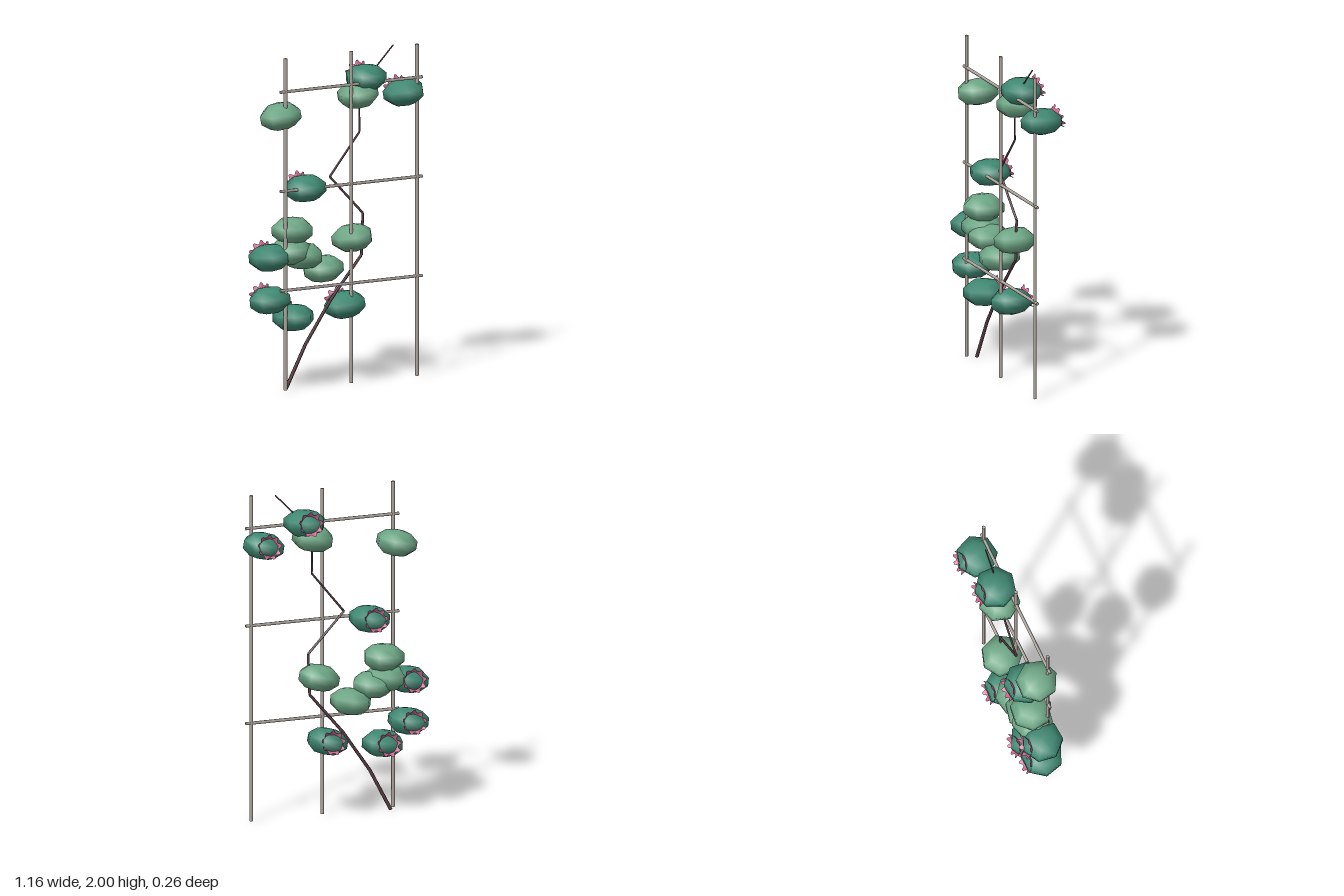
import * as THREE from 'three';

const mat = (name, color, side = THREE.FrontSide) => {
  const m = new THREE.MeshStandardMaterial({ color, side });
  m.name = name;
  return m;
};

export function createModel() {
  const wood = mat('weathered wood', 0xb0a7a0);
  const bark = mat('dark bark', 0x5e4145);
  const darkLeaf = mat('dark foliage', 0x3f8872);
  const lightLeaf = mat('light foliage', 0x6da685);
  const pink = mat('pink petals', 0xd0628e, THREE.DoubleSide);

  const model = new THREE.Group();
  model.name = 'trellisWithClimber';
  const add = (parent, name, geometry, material) => {
    const mesh = new THREE.Mesh(geometry, material);
    mesh.name = name;
    parent.add(mesh);
    return mesh;
  };

  // Trellis: three posts and three rails
  for (const x of [-0.393, 0.053, 0.5])
    add(model, 'post', new THREE.CylinderGeometry(0.011, 0.011, 1.99, 6), wood).position.set(x, 1.005, 0.068);
  for (const y of [0.608, 1.204, 1.8]) {
    const rail = add(model, 'rail', new THREE.CylinderGeometry(0.0095, 0.0095, 0.965, 6), wood);
    rail.rotation.z = Math.PI / 2;
    rail.position.set(0.053, y, 0.068);
  }

  // Zigzag stem, tapering towards the top
  const path = [[-0.36, 0.01], [-0.23, 0.26], [-0.06, 0.51], [0.15, 0.76], [0.16, 1.01],
    [-0.065, 1.25], [0.137, 1.5], [0.135, 1.76], [0.367, 2.0]].map(([x, y]) => new THREE.Vector3(x, y, 0.018));
  const up = new THREE.Vector3(0, 1, 0);
  const radius = (i) => 0.0115 - i * 0.0009;
  for (let i = 0; i < path.length - 1; i++) {
    const dir = path[i + 1].clone().sub(path[i]);
    const seg = add(model, 'stem', new THREE.CylinderGeometry(radius(i + 1), radius(i), dir.length(), 5), bark);
    seg.position.copy(path[i]).addScaledVector(dir, 0.5);
    seg.quaternion.setFromUnitVectors(up, dir.normalize());
  }

  // Flower: flared ring of square-tipped petals, opening along +z before it is turned
  const petalRing = () => {
    const steps = 36;
    const pos = [];
    const index = [];
    for (let i = 0; i <= steps; i++) {
      const a = (i / steps) * Math.PI * 2;
      const tip = i % 4 < 2;
      pos.push(Math.cos(a) * 0.05, Math.sin(a) * 0.05, 0);
      const r = tip ? 0.074 : 0.061;
      pos.push(Math.cos(a) * r, Math.sin(a) * r, tip ? 0.026 : 0.013);
      const k = i * 2;
      if (i < steps) index.push(k, k + 1, k + 3, k, k + 3, k + 2);
    }
    const g = new THREE.BufferGeometry();
    g.setAttribute('position', new THREE.Float32BufferAttribute(pos, 3));
    g.setIndex(index);
    g.computeVertexNormals();
    return g;
  };

  // Foliage clumps: x, y, tilt; the dark ones carry a flower on the back
  const dark = [[0.19, 1.818, 0.03], [0.45, 1.705, 0.17], [-0.22, 1.193, 0.1], [-0.462, 0.8, 0.1],
    [-0.462, 0.545, 0.12], [-0.302, 0.425, 0.05], [0.048, 0.47, 0.2]];
  const light = [[-0.388, 1.642, 0.2], [0.137, 1.72, 0.15], [-0.308, 0.95, 0.02], [-0.322, 0.825, 0.05],
    [-0.24, 0.79, 0], [-0.102, 0.7, 0.1], [0.1, 0.865, 0.18]];
  const clumpGeo = new THREE.SphereGeometry(0.13, 7, 5);
  const flowerGeo = petalRing();
  const addClump = ([x, y, tilt], i, material, flower) => {
    const clump = new THREE.Group();
    clump.name = flower ? 'floweringClump' : 'leafClump';
    clump.position.set(x, y, 0);
    model.add(clump);
    const leaves = add(clump, 'foliage', clumpGeo, material);
    leaves.scale.set(1, 0.62, 1);
    leaves.rotation.set(0, i * 1.3, tilt, 'ZYX');
    if (flower) {
      const bloom = add(clump, 'flower', flowerGeo, pink);
      bloom.position.set(0, 0.012, -0.09);
      bloom.rotation.set(-0.3, Math.PI, 0, 'YXZ');
    }
  };
  dark.forEach((c, i) => addClump(c, i, darkLeaf, true));
  light.forEach((c, i) => addClump(c, i + 0.5, lightLeaf, false));

  return model;
}
